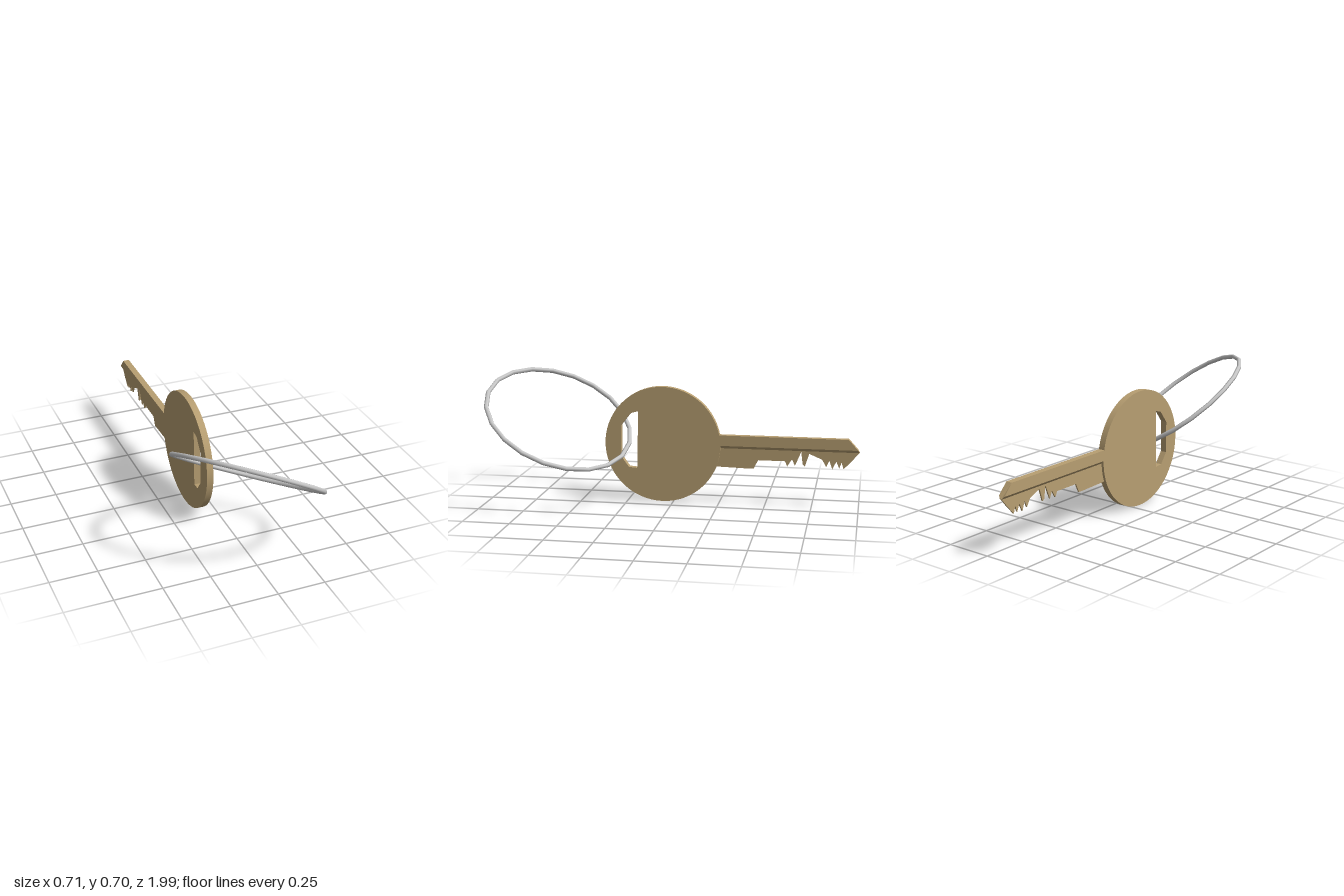
import * as THREE from 'three';
import { toCreasedNormals } from 'three/addons/utils/BufferGeometryUtils.js';

const KEY_X = -0.099, HALF = 0.0175, WEB = 0.004;
const pts = list => list.map(([x, y]) => new THREE.Vector2(x, y));

// Side outline (s = -z, y) extruded across x and centred on the key plane
function plate(shape, half) {
  const geo = new THREE.ExtrudeGeometry(shape, { depth: half * 2, bevelEnabled: false, curveSegments: 48 });
  geo.translate(0, 0, -half).rotateY(Math.PI / 2).translate(KEY_X, 0, 0);
  return toCreasedNormals(geo, 0.4);
}

function add(parent, name, geometry, material) {
  const mesh = new THREE.Mesh(geometry, material);
  mesh.name = name;
  parent.add(mesh);
}

export function createModel() {
  const model = new THREE.Group();
  model.name = 'keyWithRing';
  const brass = new THREE.MeshStandardMaterial({ color: 0xb89f72 });
  const steel = new THREE.MeshStandardMaterial({ color: 0xcccccc });

  const key = new THREE.Group();
  key.name = 'key';
  model.add(key);

  // Round bow with a D-shaped slot
  const bow = new THREE.Shape().absarc(-0.06, 0.316, 0.316, 0, Math.PI * 2);
  bow.holes.push(new THREE.Path(pts([
    [-0.193, 0.495], [-0.235, 0.484], [-0.289, 0.415], [-0.289, 0.243], [-0.246, 0.184], [-0.2, 0.18],
  ])));
  add(key, 'bow', plate(bow, HALF), brass);

  // Thick upper bar of the shank, with slanted ledges and a raked tip
  const section = new THREE.Shape(pts([
    [-HALF, 0.377], [-HALF, 0.32], [-WEB, 0.305], [WEB, 0.305], [HALF, 0.32], [HALF, 0.377],
  ]));
  const bar = new THREE.ExtrudeGeometry(section, { depth: 1, bevelEnabled: false });
  const p = bar.attributes.position;
  for (let i = 0; i < p.count; i++) {
    const rake = Math.min(1, (0.377 - p.getY(i)) / 0.067);
    p.setZ(i, p.getZ(i) > 0.5 ? -0.22 : -0.94 - 0.06 * rake);
  }
  bar.translate(KEY_X, 0, 0);
  bar.computeVertexNormals();
  add(key, 'shankBar', bar, brass);

  // Thin lower blade with the cut teeth
  const blade = new THREE.Shape(pts([
    [0.22, 0.31], [0.22, 0.203], [0.4, 0.198], [0.437, 0.198], [0.46, 0.246], [0.604, 0.246],
    [0.617, 0.218], [0.642, 0.258], [0.658, 0.222], [0.69, 0.3], [0.699, 0.232], [0.711, 0.222],
    [0.733, 0.291], [0.802, 0.262], [0.824, 0.222], [0.84, 0.259], [0.856, 0.211], [0.877, 0.254],
    [0.893, 0.217], [0.905, 0.25], [0.916, 0.214], [0.963, 0.265], [1, 0.31],
  ]));
  add(key, 'toothedBlade', plate(blade, WEB), brass);

  // Tilted ring passing through the slot: two half-axes span its plane
  const uphill = new THREE.Vector3(-0.212, 0.226, 0.236);
  const across = new THREE.Vector3(0.27, 0, 0.285);
  const loop = new THREE.Curve();
  loop.getPoint = (t, target = new THREE.Vector3()) => {
    const a = t * Math.PI * 2 - 0.07;
    return target.set(0, 0.461, 0.612).addScaledVector(uphill, Math.cos(a)).addScaledVector(across, Math.sin(a));
  };
  add(model, 'ring', new THREE.TubeGeometry(loop, 20, 0.0125, 6, true), steel);

  return model;
}
